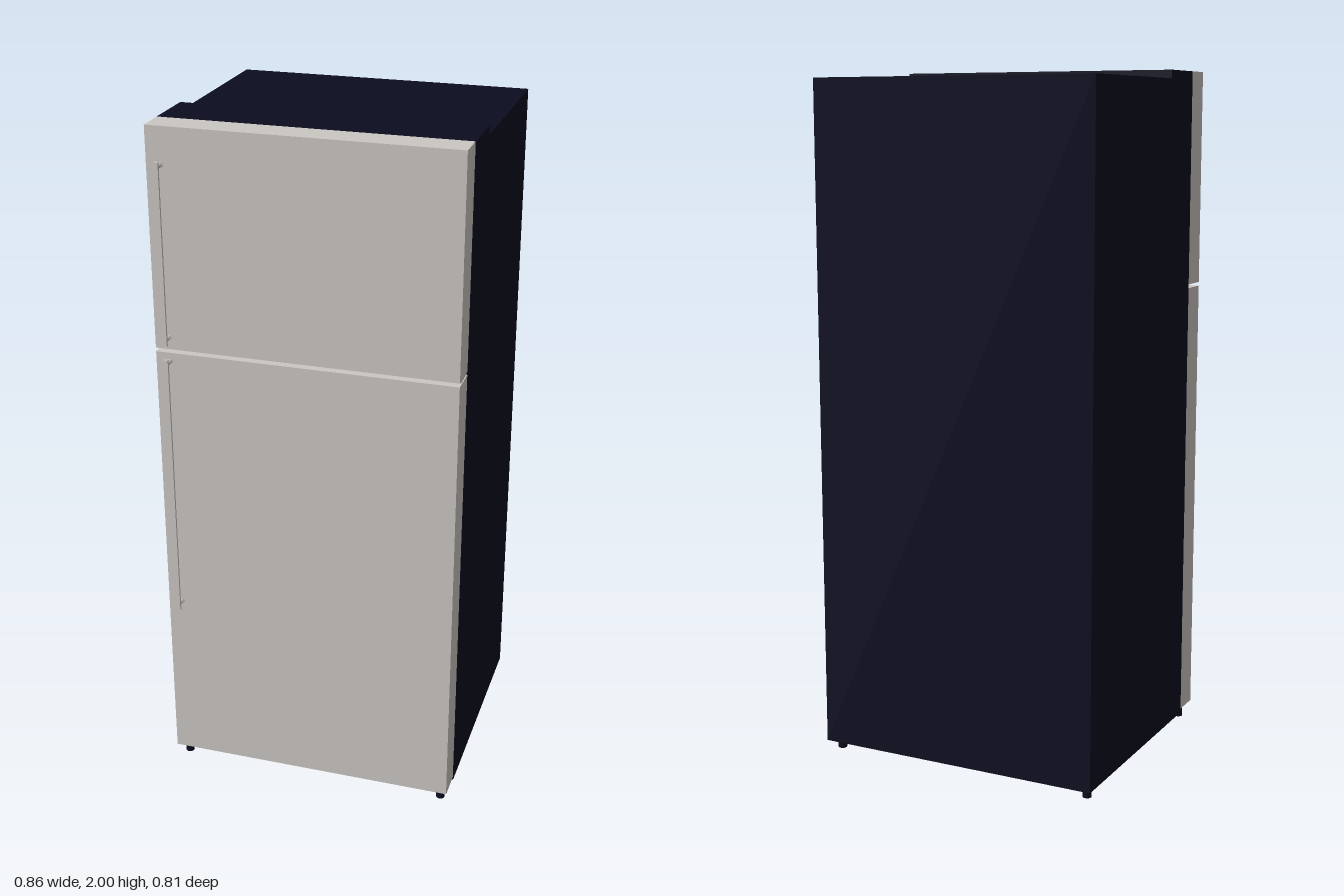
import * as THREE from 'three';

export function createModel() {
  const model = new THREE.Group();
  model.name = 'refrigerator';

  const steel = new THREE.MeshStandardMaterial({ color: 0xcbc6c2 });
  steel.name = 'brushed steel';
  const navy = new THREE.MeshStandardMaterial({ color: 0x0c0c20 });
  navy.name = 'dark navy';

  // Box given by its lower and upper corners
  function box(name, material, [x0, y0, z0], [x1, y1, z1], parent = model) {
    const mesh = new THREE.Mesh(new THREE.BoxGeometry(x1 - x0, y1 - y0, z1 - z0), material);
    mesh.position.set((x0 + x1) / 2, (y0 + y1) / 2, (z0 + z1) / 2);
    mesh.name = name;
    parent.add(mesh);
    return mesh;
  }

  function cylinder(name, material, radius, height, x, y, z, parent = model) {
    const mesh = new THREE.Mesh(new THREE.CylinderGeometry(radius, radius, height, 20), material);
    mesh.position.set(x, y, z);
    mesh.name = name;
    parent.add(mesh);
    return mesh;
  }

  // Cabinet with the raised hinge cover along the top front
  box('cabinet', navy, [-0.431, 0.03, -0.405], [0.431, 1.976, 0.286]);
  box('topHingeCover', navy, [-0.431, 1.976, 0.122], [0.431, 2, 0.286]);

  // Doors
  box('freezerDoor', steel, [-0.43, 1.376, 0.287], [0.43, 2, 0.375]);
  box('fridgeDoor', steel, [-0.43, 0.041, 0.287], [0.43, 1.365, 0.375]);

  // Hinge plates on the left side, between the doors and under the lower one
  box('middleHinge', steel, [0.4, 1.367, 0.286], [0.428, 1.373, 0.355]);
  cylinder('middleHingePin', steel, 0.01, 0.012, 0.412, 1.3705, 0.335);
  box('bottomHinge', steel, [0.4, 0.032, 0.286], [0.428, 0.038, 0.36]);

  // Handles: a slim flat bar on two standoffs
  function handle(name, bottom, top) {
    const group = new THREE.Group();
    group.name = name;
    model.add(group);
    box('handleBar', steel, [-0.397, bottom, 0.398], [-0.384, top, 0.405], group);
    for (const y of [bottom + 0.015, top - 0.015]) {
      const post = cylinder('handlePost', steel, 0.006, 0.026, -0.3905, y, 0.387, group);
      post.rotation.x = Math.PI / 2;
      const collar = cylinder('handleCollar', steel, 0.008, 0.006, -0.3905, y, 0.378, group);
      collar.rotation.x = Math.PI / 2;
    }
  }
  handle('freezerHandle', 1.395, 1.911);
  handle('fridgeHandle', 0.555, 1.354);

  // Levelling feet
  for (const x of [-0.404, 0.404]) {
    cylinder('frontFootStem', navy, 0.008, 0.026, x, 0.028, 0.336);
    cylinder('frontFoot', navy, 0.013, 0.026, x, 0.013, 0.336);
    cylinder('backFoot', navy, 0.013, 0.034, x, 0.017, -0.364);
  }

  return model;
}
